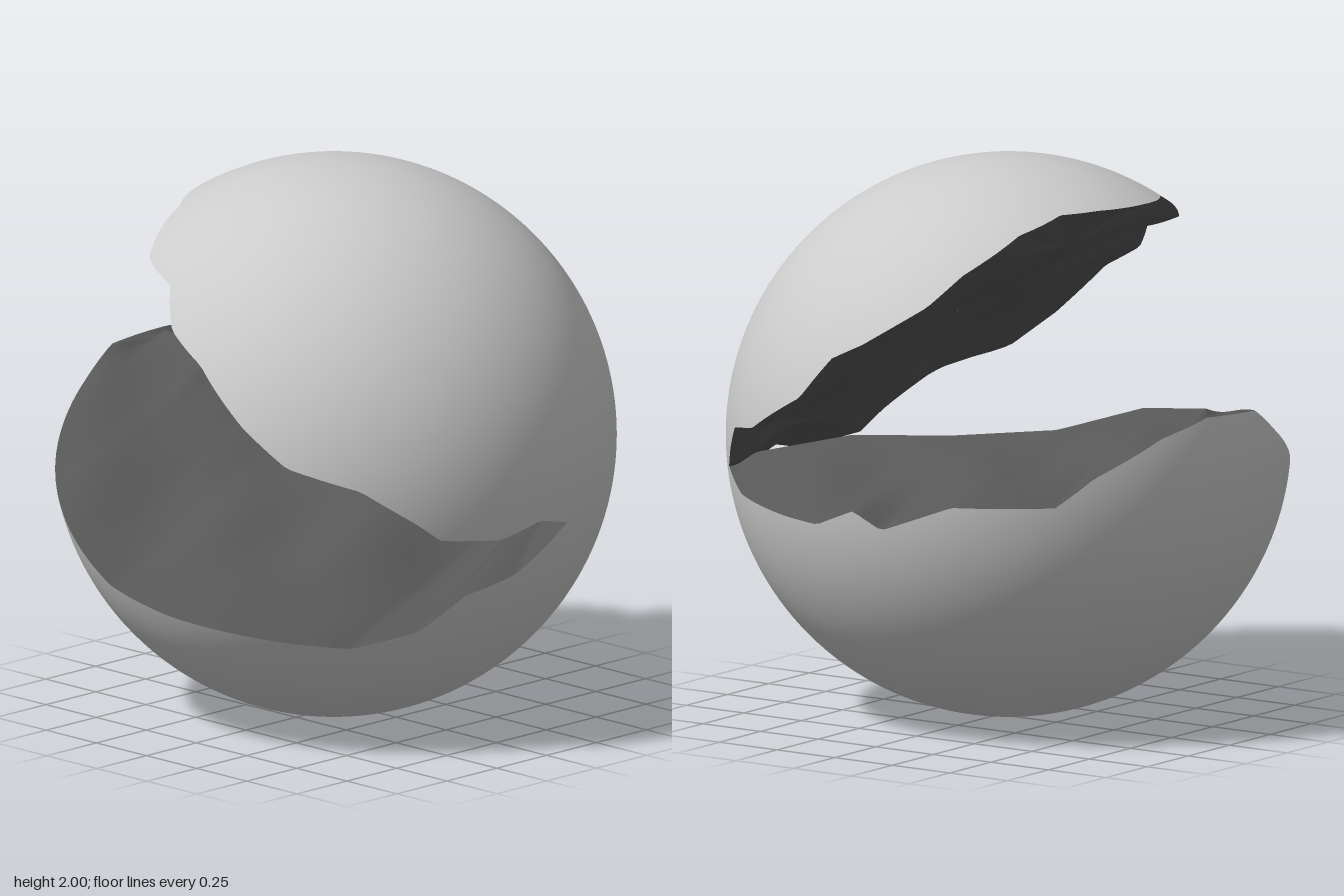
import * as THREE from 'three';

const CX = -0.06, N = 240;

// Jagged rims on the unit sphere, as x, y, z triples; both share the seam at the front.
const SEAM = [0.14, 0.82, 0.96, 0.38, 0.84, 0.89, 0.62, 0.91, 0.73];
const UPPER = [
  ...SEAM, 0.7, 1.07, 0.65, 0.8, 1.1, 0.5, 0.88, 1.25, 0.24, 0.85, 1.4, 0.12,
  0.83, 1.46, 0, 0.72, 1.6, -0.2, 0.6, 1.7, -0.27, 0.38, 1.82, -0.36, 0.2, 1.87, -0.41,
  0.06, 1.87, -0.47, -0.08, 1.87, -0.5, -0.2, 1.86, -0.49, -0.45, 1.84, -0.38,
  -0.7, 1.71, -0.28, -0.8, 1.67, -0.08, -0.9, 1.54, 0.03, -0.93, 1.45, 0.2,
  -0.94, 1.26, 0.42, -0.87, 1.13, 0.57, -0.7, 1.05, 0.77, -0.53, 0.92, 0.88,
  -0.44, 0.85, 0.91, -0.2, 0.82, 0.97, -0.02, 0.86, 0.99,
];
const LOWER = [
  ...SEAM, 0.72, 0.84, 0.6, 0.86, 0.82, 0.3, 0.91, 0.81, 0.14, 0.93, 0.88, -0.03,
  0.91, 0.82, -0.14, 0.85, 0.92, -0.4, 0.64, 0.92, -0.7, 0.54, 1.02, -0.8,
  0.3, 1.14, -0.92, 0.09, 1.19, -0.97, -0.19, 1.17, -0.96, -0.33, 1.08, -0.95,
  -0.55, 0.95, -0.87, -0.83, 0.74, -0.6, -0.92, 0.56, -0.26, -0.93, 0.5, 0.05,
  -0.75, 0.45, 0.47, -0.6, 0.43, 0.62, -0.42, 0.49, 0.78, -0.3, 0.62, 0.89,
  -0.1, 0.67, 0.94,
];

// Inner spines the broken faces run to, from back to front
const UPPER_SPINE = [[0, 1.72, -0.3], [0.12, 1.46, 0.1], [0.3, 1.04, 0.6]];
const LOWER_SPINE = [
  [0, 1.2, -0.9], [0.03, 1.18, -0.65], [0.25, 1.11, -0.43],
  [0.3, 1.05, 0], [0.4, 1.03, 0.35], [0.55, 0.96, 0.65],
];

// Rim resampled by azimuth into [azimuth, polar angle] pairs
function sampleRim(data) {
  const pts = [];
  for (let i = 0; i < data.length; i += 3) {
    const v = new THREE.Vector3(data[i] - CX, data[i + 1] - 1, data[i + 2]).normalize();
    pts.push([Math.atan2(v.x, v.z), Math.acos(v.y)]);
  }
  pts.sort((a, b) => a[0] - b[0]);
  const first = pts[0], last = pts[pts.length - 1];
  pts.unshift([last[0] - Math.PI * 2, last[1]]);
  pts.push([first[0] + Math.PI * 2, first[1]]);
  return Array.from({ length: N }, (_, i) => {
    const a = -Math.PI + (i / N) * Math.PI * 2;
    const k = Math.max(1, pts.findIndex((p) => p[0] > a));
    const p = pts[k - 1], q = pts[k];
    return [a, THREE.MathUtils.lerp(p[1], q[1], (a - p[0]) / (q[0] - p[0]))];
  });
}

const onSphere = (a, polar) => new THREE.Vector3().setFromSphericalCoords(1, polar, a)
  .add(new THREE.Vector3(CX, 1, 0));

function spineAt(spine, z) {
  const zc = THREE.MathUtils.clamp(z, spine[0][2], spine[spine.length - 1][2]);
  const k = Math.max(1, spine.findIndex((p) => p[2] >= zc));
  const p = new THREE.Vector3(...spine[k - 1]), q = new THREE.Vector3(...spine[k]);
  return p.lerp(q, (zc - p.z) / (q.z - p.z));
}

// Closed rings of N points; point(i, t) runs from the rim (t = 0) inward (t = 1)
function ringSurface(rows, point, flip) {
  const pos = [], index = [];
  for (let j = 0; j <= rows; j++) {
    for (let i = 0; i < N; i++) pos.push(...point(i, j / rows).toArray());
  }
  for (let j = 0; j < rows; j++) {
    for (let i = 0; i < N; i++) {
      const a = j * N + i, b = j * N + ((i + 1) % N), c = a + N, d = b + N;
      if (flip) index.push(a, c, b, b, c, d);
      else index.push(a, b, c, b, d, c);
    }
  }
  const geo = new THREE.BufferGeometry();
  geo.setAttribute('position', new THREE.Float32BufferAttribute(pos, 3));
  geo.setIndex(index);
  geo.computeVertexNormals();
  return geo;
}

// Part of the sphere between a rim and a pole, with exact radial normals
function shell(rim, pole, flip) {
  const geo = ringSurface(40, (i, t) =>
    onSphere(rim[i][0], THREE.MathUtils.lerp(rim[i][1], pole, t)), flip);
  const p = geo.attributes.position, n = geo.attributes.normal;
  for (let i = 0; i < p.count; i++) n.setXYZ(i, p.getX(i) - CX, p.getY(i) - 1, p.getZ(i));
  return geo;
}

// Broken face ruled from rim to spine, with gentle waves
function brokenFace(rim, spine, flip) {
  return ringSurface(14, (i, t) => {
    const edge = onSphere(...rim[i]);
    const v = edge.clone().lerp(spineAt(spine, edge.z), t);
    const wave = Math.sin(7 * v.x + 9 * v.z) + 0.6 * Math.sin(15 * v.z - 5 * v.x + 1);
    v.y += 0.018 * wave * Math.sin(Math.PI * t);
    return v;
  }, flip);
}

export function createModel() {
  const group = new THREE.Group();
  const skin = new THREE.MeshStandardMaterial({ color: 0xcccccc });
  const inside = new THREE.MeshStandardMaterial({ color: 0x575757, side: THREE.DoubleSide });
  const add = (name, geo, mat) => {
    const mesh = new THREE.Mesh(geo, mat);
    mesh.name = name;
    group.add(mesh);
  };
  const upper = sampleRim(UPPER), lower = sampleRim(LOWER);

  // Outer sphere halves
  add('upperShell', shell(upper, 0, false), skin);
  add('lowerShell', shell(lower, Math.PI, true), skin);
  // Dark fracture faces inside the gap
  add('upperBrokenFace', brokenFace(upper, UPPER_SPINE, true), inside);
  add('lowerBrokenFace', brokenFace(lower, LOWER_SPINE, false), inside);
  return group;
}
